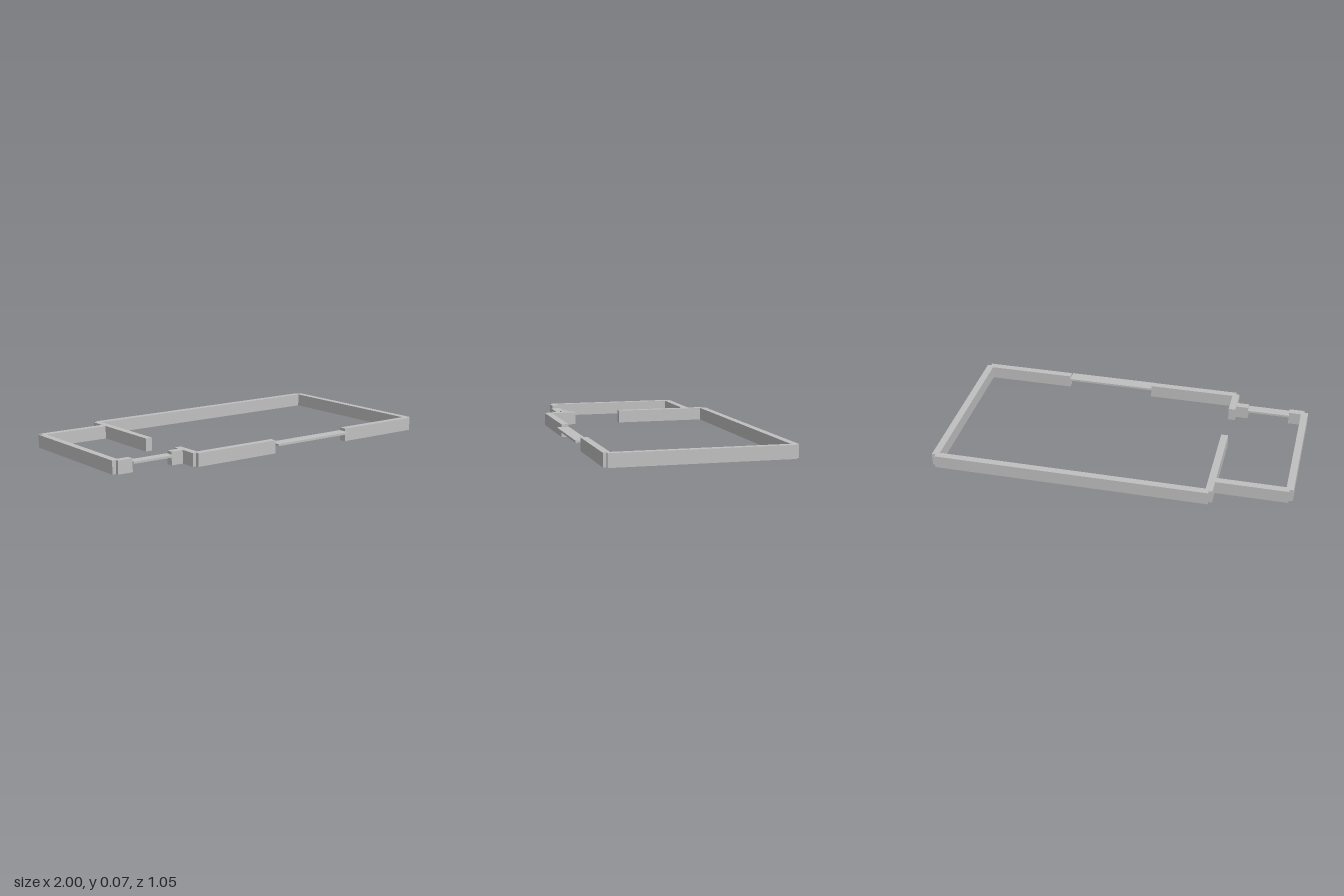
import * as THREE from 'three';

const WALL_HEIGHT = 0.073;
const HALF = 0.02; // half of the wall thickness

export function createModel() {
  const model = new THREE.Group();
  model.name = 'floorPlan';
  const plaster = new THREE.MeshStandardMaterial({ color: 0xc0c0c0 });
  plaster.name = 'plasterGrey';

  // Box given by its extents on each axis
  function block(name, x0, x1, y0, y1, z0, z1) {
    const mesh = new THREE.Mesh(new THREE.BoxGeometry(x1 - x0, y1 - y0, z1 - z0), plaster);
    mesh.name = name;
    mesh.position.set((x0 + x1) / 2, (y0 + y1) / 2, (z0 + z1) / 2);
    model.add(mesh);
  }
  // Walls run along their centre lines, leaving notched outer corners
  const wallX = (name, x0, x1, z) => block(name, x0, x1, 0, WALL_HEIGHT, z - HALF, z + HALF);
  const wallZ = (name, x, z0, z1) => block(name, x - HALF, x + HALF, 0, WALL_HEIGHT, z0, z1);

  // Main room
  wallX('mainBackWall', -0.56, 0.977, -0.508);
  wallZ('mainLeftWall', 0.978, -0.508, 0.48);
  wallX('mainFrontWallRight', -0.56, -0.045, 0.479);
  wallX('mainFrontWallLeft', 0.463, 0.977, 0.479);

  // Dividing wall with a doorway
  wallZ('dividerBack', -0.56, -0.508, 0.038);
  wallZ('dividerFront', -0.56, 0.313, 0.48);

  // Side room
  wallX('sideBackWall', -0.978, -0.56, -0.4);
  wallZ('sideOuterWall', -0.98, -0.4, 0.37);
  wallX('sideFrontWallRight', -0.978, -0.89, 0.368);
  wallX('sideFrontWallLeft', -0.65, -0.56, 0.368);

  // Slabs bridging the two openings
  block('mainOpeningSlab', -0.047, 0.463, 0.045, 0.057, 0.455, 0.526);
  block('sideOpeningSlab', -0.892, -0.65, 0.045, 0.057, 0.341, 0.398);

  return model;
}
